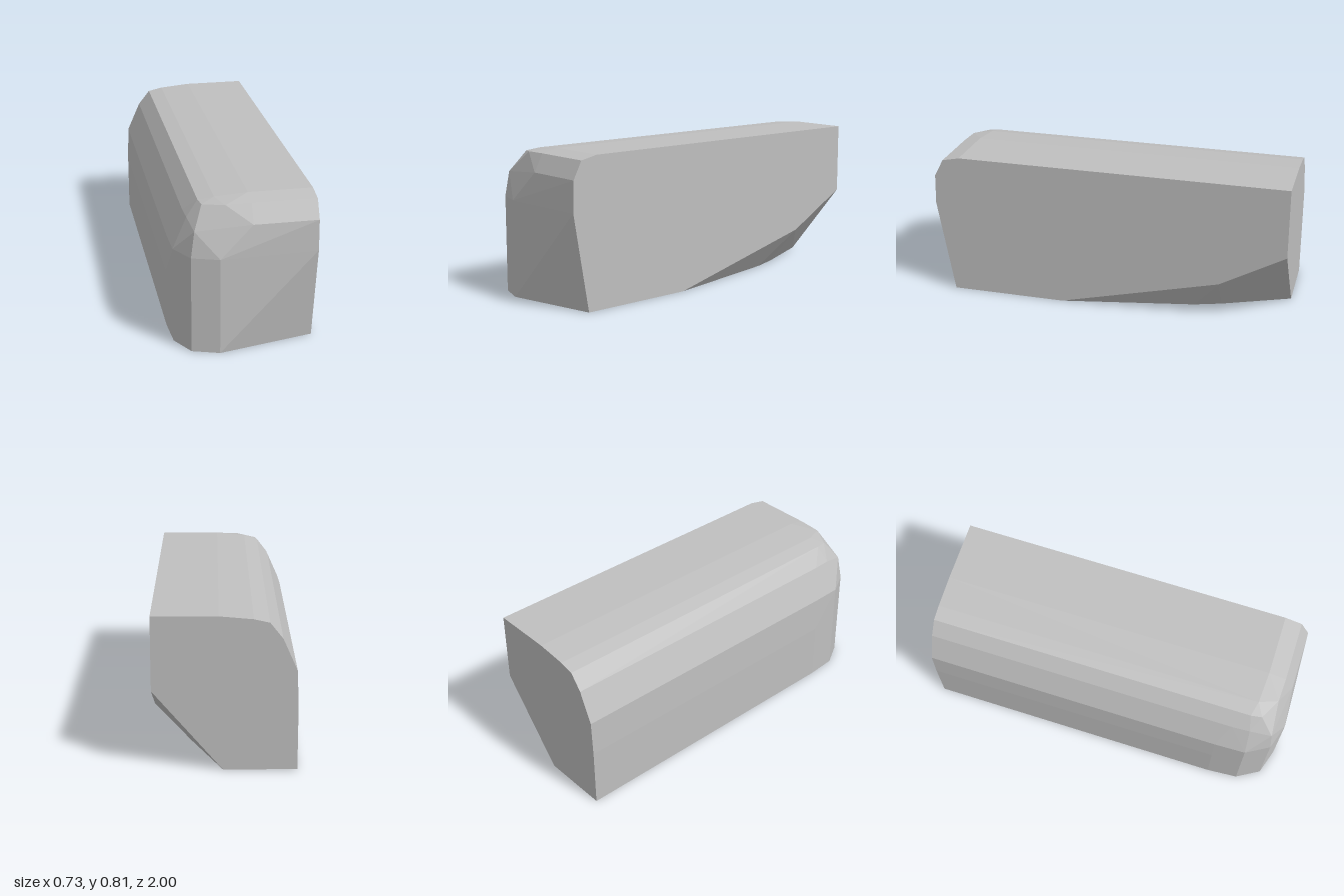
import * as THREE from 'three';
import { ConvexGeometry } from 'three/addons/geometries/ConvexGeometry.js';

export function createModel() {
  const group = new THREE.Group();
  group.name = 'roundedHalfBlock';
  const grey = new THREE.MeshStandardMaterial({ color: 0xbfbfbf });
  grey.name = 'plain grey';

  const side = 0.365; // flat cut side
  const points = [];
  const add = (x, y, z) => points.push(new THREE.Vector3(x, y, z));

  // long rounded shoulder, from the back end to where the front rounding begins
  const shoulder = [
    [-0.365, 0, 0.66], [-0.365, 0.33, 0.66], [-0.358, 0.525, 0.66], [-0.285, 0.69, 0.72],
    [-0.22, 0.772, 0.8], [-0.14, 0.79, 0.82], [0.03, 0.805, 0.83], [side, 0.805, 0.83],
  ];
  for (const [x, y, z] of shoulder) {
    add(x, y, -1);
    add(x, y, z);
  }

  // upright front corner, repeated at the floor and where the top rounding begins
  for (const y of [0, 0.525]) {
    add(-0.353, y, 0.83);
    add(-0.28, y, 0.955);
    add(-0.14, y, 1);
  }
  add(side, 0, 0.89);
  add(side, 0.525, 0.98);

  // rounding between front and top
  for (const x of [0.03, side]) {
    add(x, 0.69, 0.975);
    add(x, 0.785, 0.925);
  }
  add(-0.1, 0.782, 0.92);
  add(-0.21, 0.77, 0.86);
  add(-0.26, 0.66, 0.94);
  add(-0.28, 0.69, 0.82);

  // slanted cut along the lower rear edge
  add(side, 0, 0.25);
  add(0.22, 0, -0.48);
  add(0.17, 0, -0.63);
  add(side, 0.22, -0.64);
  add(side, 0.42, -1);
  add(0.01, 0, -1);

  const block = new THREE.Mesh(new ConvexGeometry(points), grey);
  block.name = 'block';
  group.add(block);
  return group;
}
